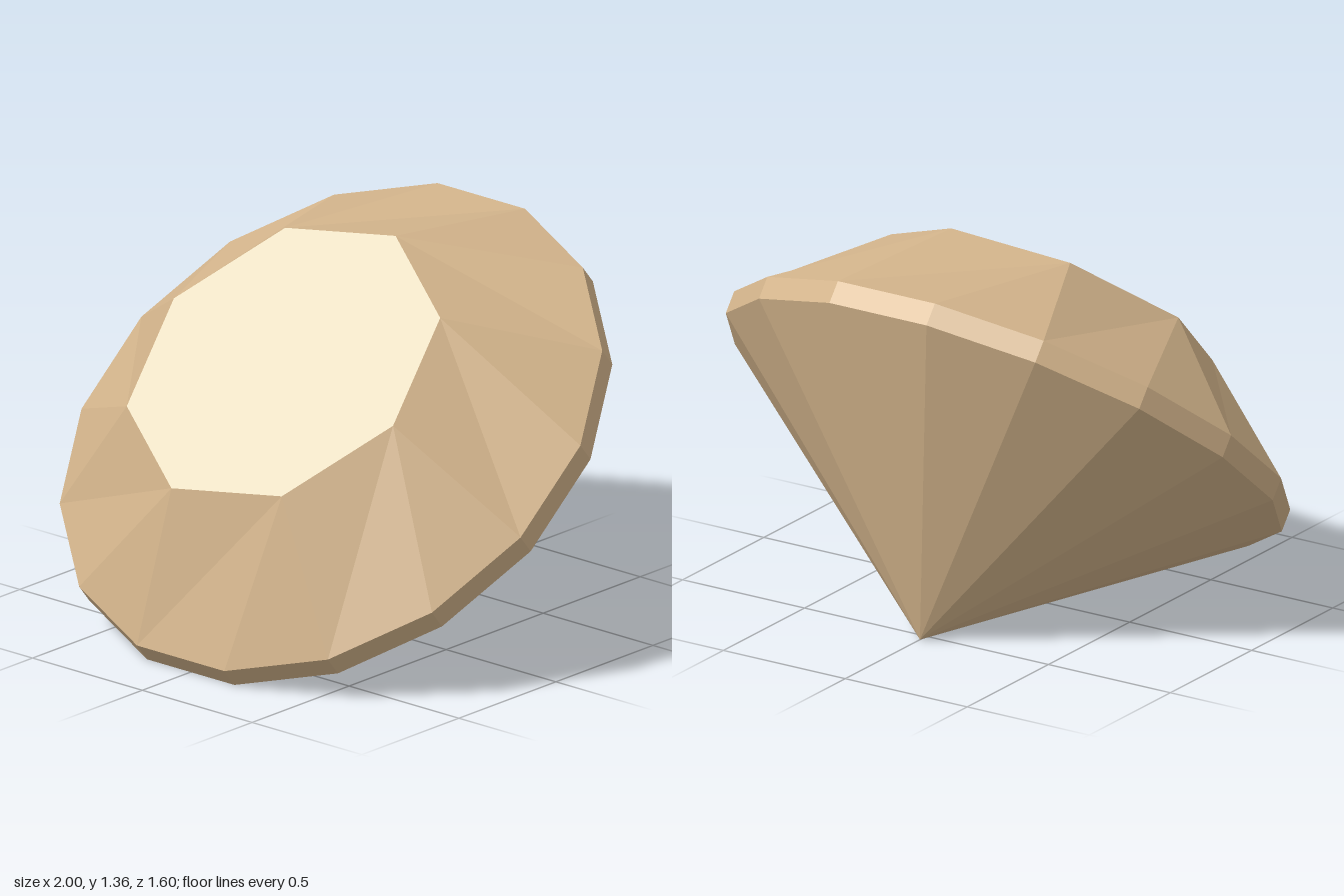
import * as THREE from 'three';

const tan = new THREE.MeshStandardMaterial({ color: 0xd4b58c });
tan.name = 'tan';
const cream = new THREE.MeshStandardMaterial({ color: 0xf0e4c4 });
cream.name = 'cream';

const SIDES = 16;

// Ring of points around the gem axis, half a girdle step off centre
function ring(count, radius, height) {
  return Array.from({ length: count }, (_, i) => {
    const a = Math.PI / SIDES + (i / count) * Math.PI * 2;
    return new THREE.Vector3(Math.sin(a) * radius, height, -Math.cos(a) * radius);
  });
}

// Flat-shaded mesh from separate triangles
function facets(name, triangles, material) {
  const geometry = new THREE.BufferGeometry().setFromPoints(triangles.flat());
  geometry.computeVertexNormals();
  const mesh = new THREE.Mesh(geometry, material);
  mesh.name = name;
  return mesh;
}

export function createModel() {
  const culet = new THREE.Vector3(0, 0, 0);
  const lower = ring(SIDES, 1.0196, 0.816);
  const upper = ring(SIDES, 1.0196, 0.898);
  const table = ring(SIDES / 2, 0.589, 1.285);
  const tableCentre = new THREE.Vector3(0, 1.285, 0);

  // Pavilion cone and girdle band
  const pavilion = [], girdle = [];
  for (let i = 0; i < SIDES; i++) {
    const j = (i + 1) % SIDES;
    pavilion.push([culet, lower[i], lower[j]]);
    girdle.push([lower[j], lower[i], upper[i]], [lower[j], upper[i], upper[j]]);
  }

  // Crown: each table corner fans to two girdle edges, then bridges to the next corner
  const crown = [], top = [];
  for (let k = 0; k < SIDES / 2; k++) {
    const t = table[k], next = table[(k + 1) % table.length];
    const [a, b, c] = [0, 1, 2].map((n) => upper[(2 * k + n) % SIDES]);
    crown.push([t, b, a], [t, c, b], [c, t, next]);
    top.push([tableCentre, next, t]);
  }

  const gem = new THREE.Group();
  gem.name = 'gem';
  gem.add(
    facets('pavilion', pavilion, tan),
    facets('girdle', girdle, tan),
    facets('crown', crown, tan),
    facets('table', top, cream),
  );

  // The gem lies on its pavilion, with the table leaning forward
  gem.rotation.x = 0.6845;
  gem.position.z = -0.54;

  const model = new THREE.Group();
  model.name = 'cutGemstone';
  model.add(gem);
  return model;
}
